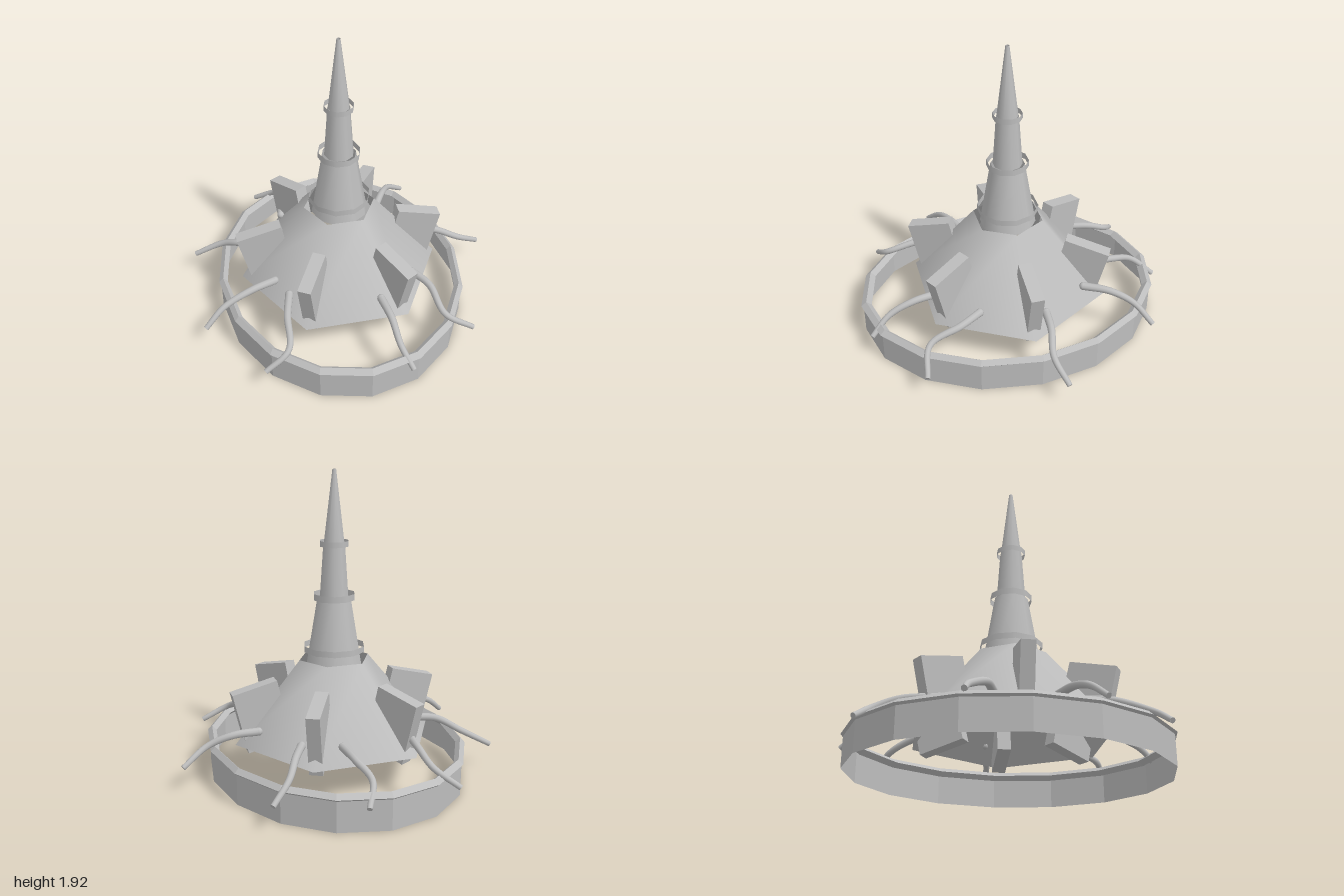
import * as THREE from 'three';

export function createModel() {
  const model = new THREE.Group();
  const body = new THREE.Group();
  body.position.set(-0.035, 0, 0.01);
  model.add(body);

  const grey = new THREE.MeshStandardMaterial({ color: 0xbdbdbd, side: THREE.DoubleSide });
  grey.name = 'plain grey';

  function add(name, geometry, parent = body) {
    const mesh = new THREE.Mesh(geometry, grey);
    mesh.name = name;
    parent.add(mesh);
    return mesh;
  }

  // Open many-sided tapered wall with a corner on the +x axis
  function wall(rTop, rBottom, y0, y1, sides) {
    return new THREE.CylinderGeometry(rTop, rBottom, y1 - y0, sides, 1, true)
      .rotateY(Math.PI / 2).translate(0, (y0 + y1) / 2, 0);
  }

  // Oval outer ring with a diamond-section rim
  const stretch = 0.977 / 0.8;
  const faceted = (g) => { const f = g.toNonIndexed(); f.computeVertexNormals(); return f; };
  add('outerRing', faceted(wall(0.8, 0.8, 0, 0.21, 16).scale(1, 1, stretch)));
  add('ringRim', faceted(new THREE.TorusGeometry(0.785, 0.028, 4, 16)
    .rotateX(Math.PI / 2).scale(1, 1, stretch).translate(0, 0.202, 0)));

  // Hexagonal skirt, open above and below
  add('skirt', wall(0.23, 0.655, 0.225, 0.737, 6));

  // Stepped ten-sided spire
  add('spireBase', wall(0.108, 0.18, 0.7, 1.13, 10));
  add('spireMiddle', wall(0.07, 0.093, 1.13, 1.465, 10));
  add('spireTip', wall(0.012, 0.067, 1.465, 1.92, 10));

  // Open collars around the spire
  for (const [r, y0, y1] of [[0.196, 0.785, 0.823], [0.133, 1.115, 1.155], [0.092, 1.45, 1.485]]) {
    add('collar', wall(r, r, y0, y1, 10));
  }

  // Six leaning fins, one on each corner of the skirt
  for (let i = 0; i < 6; i++) {
    const fin = new THREE.Group();
    fin.name = 'fin' + (i + 1);
    fin.rotation.y = i * Math.PI / 3;
    body.add(fin);
    const slab = add('finSlab', new THREE.BoxGeometry(0.293, 0.4, 0.085), fin);
    slab.position.set(0.485, 0.403, 0);
    slab.rotation.z = -0.241;
  }

  // Tapering tentacles: ground-plan points, drooping from the skirt over the ring
  const heights = [0.335, 0.325, 0.26, 0.16];
  const plans = [
    [[-0.36, -0.44], [-0.335, -0.65], [-0.36, -0.8], [-0.49, -0.9]],
    [[0.09, -0.5], [0.08, -0.69], [0.04, -0.85], [0.11, -0.985]],
    [[0.315, -0.4], [0.4, -0.555], [0.48, -0.69], [0.6, -0.78]],
    [[0.495, -0.09], [0.65, -0.075], [0.81, -0.04], [0.97, -0.09]],
    [[0.385, 0.31], [0.465, 0.45], [0.51, 0.655], [0.685, 0.71]],
    [[0.13, 0.51], [0.155, 0.69], [0.17, 0.85], [0.225, 0.97]],
    [[-0.43, 0.355], [-0.47, 0.53], [-0.5, 0.75], [-0.65, 0.8]],
    [[-0.5, 0.21], [-0.66, 0.26], [-0.845, 0.31], [-0.97, 0.37]],
    [[-0.52, -0.16], [-0.66, -0.21], [-0.79, -0.31], [-0.975, -0.355]],
  ];
  const steps = 24, sides = 10, radius = 0.026;
  plans.forEach((plan, i) => {
    const curve = new THREE.CatmullRomCurve3(
      plan.map(([x, z], k) => new THREE.Vector3(x, heights[k], z)));
    const tube = new THREE.TubeGeometry(curve, steps, radius, sides);
    const pos = tube.attributes.position, v = new THREE.Vector3();
    for (let k = 0; k < pos.count; k++) {
      const t = Math.floor(k / (sides + 1)) / steps;
      const c = curve.getPointAt(t);
      v.fromBufferAttribute(pos, k).sub(c).multiplyScalar(1 - 0.35 * t).add(c);
      pos.setXYZ(k, v.x, v.y, v.z);
    }
    const tentacle = new THREE.Group();
    tentacle.name = 'tentacle' + (i + 1);
    model.add(tentacle);
    add('tentacleTube', tube, tentacle);
    // Rounded root and flat tip
    add('tentacleRoot', new THREE.SphereGeometry(radius, 10, 8), tentacle)
      .position.copy(curve.getPointAt(0));
    const tip = add('tentacleTip', new THREE.CircleGeometry(radius * 0.65, sides), tentacle);
    tip.position.copy(curve.getPointAt(1));
    tip.lookAt(curve.getPointAt(1).add(curve.getTangentAt(1)));
  });

  return model;
}
